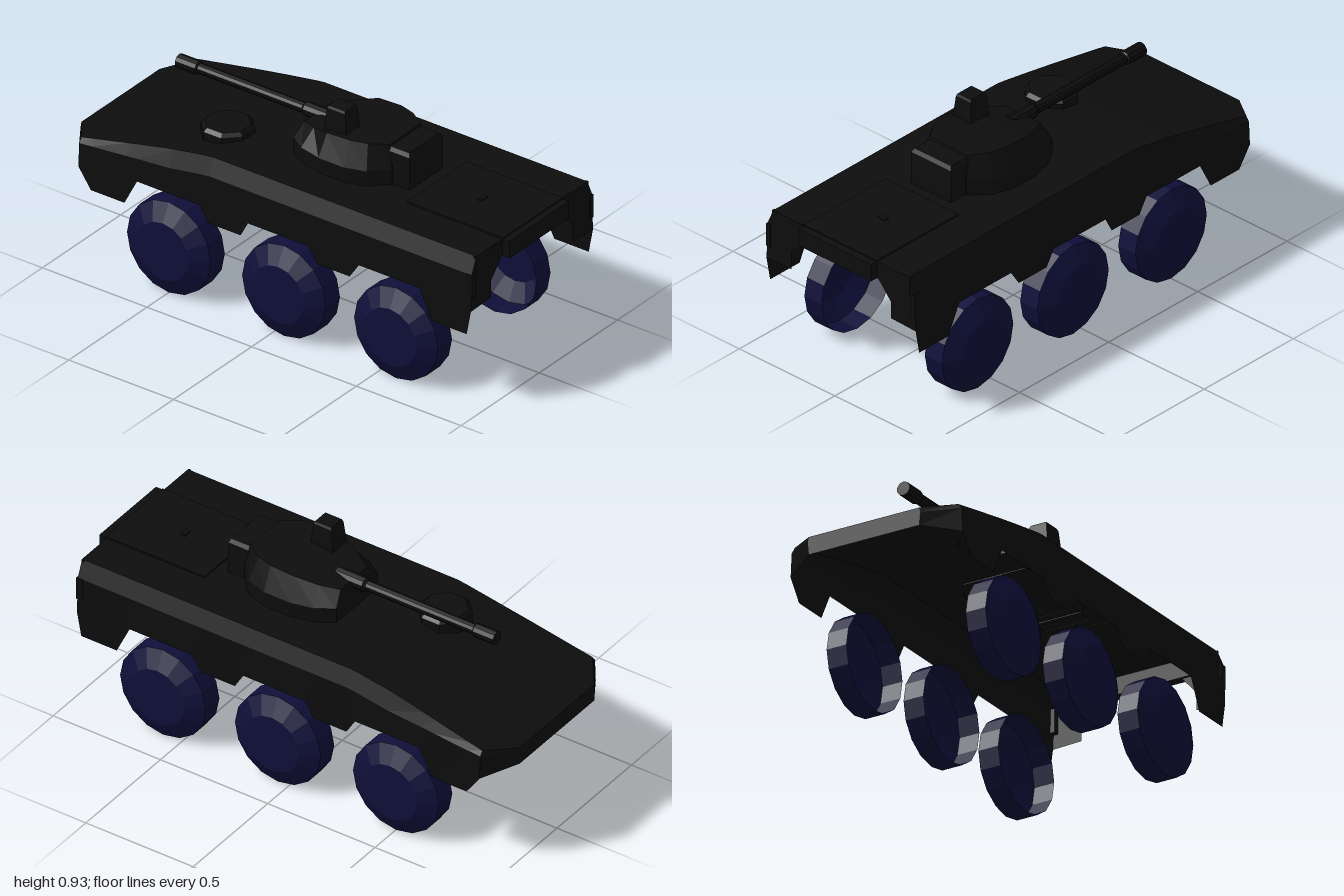
import * as THREE from 'three';

const paint = (name, color) => {
  const m = new THREE.MeshStandardMaterial({ color, side: THREE.DoubleSide, flatShading: true });
  m.name = name;
  return m;
};

// Surface through rows of [x, y, z] points; optional closed rows and end caps
function loft(rows, { closed = false, capStart = false, capEnd = false } = {}) {
  const pos = [];
  const tri = (a, b, c) => pos.push(...a, ...b, ...c);
  const n = rows[0].length;
  for (let i = 0; i < rows.length - 1; i++) {
    for (let j = 0; j < (closed ? n : n - 1); j++) {
      const k = (j + 1) % n;
      tri(rows[i][j], rows[i + 1][j], rows[i + 1][k]);
      tri(rows[i][j], rows[i + 1][k], rows[i][k]);
    }
  }
  const cap = (row, flip) => {
    for (let j = 1; j < n - 1; j++) flip ? tri(row[0], row[j + 1], row[j]) : tri(row[0], row[j], row[j + 1]);
  };
  if (capStart) cap(rows[0], false);
  if (capEnd) cap(rows[rows.length - 1], true);
  const g = new THREE.BufferGeometry();
  g.setAttribute('position', new THREE.Float32BufferAttribute(pos, 3));
  g.computeVertexNormals();
  return g;
}

// Mirrors a half outline given from -z to +z into a full ring
const mirrorRing = half => [...half, ...half.slice().reverse().map(([x, y, z]) => [-x, y, z])];

export function createModel() {
  const group = new THREE.Group();
  const hullPaint = paint('hull black', 0x0d0d0d);
  const wheelPaint = paint('wheel navy', 0x0f0f3a);
  const add = (name, geo, x = 0, y = 0, z = 0, mat = hullPaint) => {
    const m = new THREE.Mesh(geo, mat);
    m.name = name;
    m.position.set(x, y, z);
    group.add(m);
    return m;
  };
  const box = (name, w, h, d, x, y, z) => add(name, new THREE.BoxGeometry(w, h, d), x, y, z);

  // Hull shell: [z, top height, skirt bottom], open underneath
  const stations = [
    [0.965, 0.67, 0.44], [0.945, 0.67, 0.335], [0.78, 0.67, 0.335], [0.72, 0.67, 0.46],
    [0.43, 0.67, 0.46], [0.386, 0.67, 0.395], [0.23, 0.67, 0.395], [0.19, 0.67, 0.46],
    [-0.10, 0.67, 0.46], [-0.135, 0.67, 0.395], [-0.29, 0.67, 0.395], [-0.33, 0.665, 0.46],
    [-0.48, 0.64, 0.46], [-0.63, 0.61, 0.46], [-0.69, 0.597, 0.345], [-0.85, 0.563, 0.345],
    [-0.91, 0.55, 0.43], [-1.0, 0.53, 0.455],
  ];
  const rows = stations.map(([z, top, low]) => {
    const nose = z < -0.95;
    const taper = Math.max(0, (-z - 0.48) / 0.43);
    const roof = nose ? 0.25 : 0.355 + 0.015 * taper;
    const mid = nose ? 0.255 : 0.385;
    const skirt = nose ? 0.25 : 0.39;
    const midY = top - 0.07 + 0.05 * Math.min(1, taper);
    const half = [[skirt, low, z], [mid, midY, z], [roof, top, z]];
    return mirrorRing(half);
  });
  add('hull', loft(rows, { capEnd: true }));

  // Rear wall: upper panel and ramp lip, with a panel at each corner
  box('rearPanel', 0.72, 0.075, 0.012, 0, 0.632, 0.96);
  box('rearRampLip', 0.38, 0.075, 0.04, 0, 0.634, 0.98);
  for (const s of [1, -1]) {
    const corner = new THREE.Shape([
      [0.26, 0.445], [0.39, 0.44], [0.385, 0.6], [0.355, 0.67], [0.19, 0.67], [0.19, 0.6], [0.26, 0.52],
    ].map(([x, y]) => new THREE.Vector2(s * x, y)));
    add('rearCorner', new THREE.ShapeGeometry(corner), 0, 0, 0.965);
    // Skirt lip that reaches back to the rear edge
    box('skirtRearEdge', 0.02, 0.1, 0.03, s * 0.378, 0.55, 0.955);
  }
  box('rearDeckPlate', 0.38, 0.008, 0.46, 0, 0.673, 0.74);
  box('rearDeckLatch', 0.04, 0.012, 0.02, 0, 0.678, 0.73);

  // Crew hatch with bevelled rim
  const ring = (r, y) => Array.from({ length: 8 }, (_, i) => {
    const a = (i + 0.5) * Math.PI / 4;
    return [r * Math.sin(a), y, r * Math.cos(a)];
  });
  add('crewHatch', loft([ring(0.108, 0.64), ring(0.108, 0.688), ring(0.092, 0.703)],
    { closed: true, capEnd: true }), -0.15, 0, -0.375);

  // Turret: wide base, sloped sides, roof dropping toward the gun
  const base = [[0.14, -0.07], [0.185, 0.0], [0.208, 0.1], [0.208, 0.22], [0.18, 0.31], [0.11, 0.38]];
  const roof = [[0.09, 0.79, -0.055], [0.13, 0.805, 0.02], [0.165, 0.83, 0.11], [0.165, 0.835, 0.22],
    [0.145, 0.835, 0.29], [0.1, 0.835, 0.36]];
  const level = y => mirrorRing(base.map(([x, z]) => [x, y, z]));
  add('turret', loft([level(0.665), level(0.735), mirrorRing(roof)], { closed: true }));
  // Roof as strips across the turret
  add('turretRoof', loft(roof.map(([x, y, z]) => [[x, y, z], [-x, y, z]])));
  const bin = (w, y, z0, z1) => [[w, y, z0], [w, y, z1], [-w, y, z1], [-w, y, z0]];
  add('turretBin', loft([bin(0.105, 0.668, 0.34, 0.46), bin(0.105, 0.81, 0.34, 0.46), bin(0.095, 0.826, 0.34, 0.45)],
    { closed: true, capEnd: true }));

  // Sight on the turret roof
  const sightRing = (w, d, y) => [[w, y, d], [w, y, -d], [-w, y, -d], [-w, y, d]];
  add('turretSight', loft([sightRing(0.046, 0.05, 0.8), sightRing(0.046, 0.05, 0.845), sightRing(0.039, 0.043, 0.92),
    sightRing(0.034, 0.038, 0.93)], { closed: true, capEnd: true }), -0.097, 0, 0.132);

  // Gun with sleeve and muzzle
  const gunProfile = [[0, 0.02], [0.03, 0.02], [0.03, -0.11], [0.022, -0.12], [0.022, -0.62], [0.029, -0.625],
    [0.029, -0.72], [0, -0.72]].map(([r, z]) => new THREE.Vector2(r, -z));
  const gun = add('gun', new THREE.LatheGeometry(gunProfile, 10), 0, 0.783, 0);
  gun.rotation.x = -Math.PI / 2;

  // Six wheels: bevelled outside, hollow inside
  const wheelProfile = [[0.2, 0.27], [0.2, 0.36], [0.125, 0.4], [0, 0.4]].map(p => new THREE.Vector2(...p));
  const wheelGeo = new THREE.LatheGeometry(wheelProfile, 16);
  for (const s of [1, -1]) {
    for (const z of [0.585, 0.05, -0.5]) {
      add('wheel', wheelGeo, 0, 0.2, z, wheelPaint).rotation.z = -s * Math.PI / 2;
    }
  }
  return group;
}
